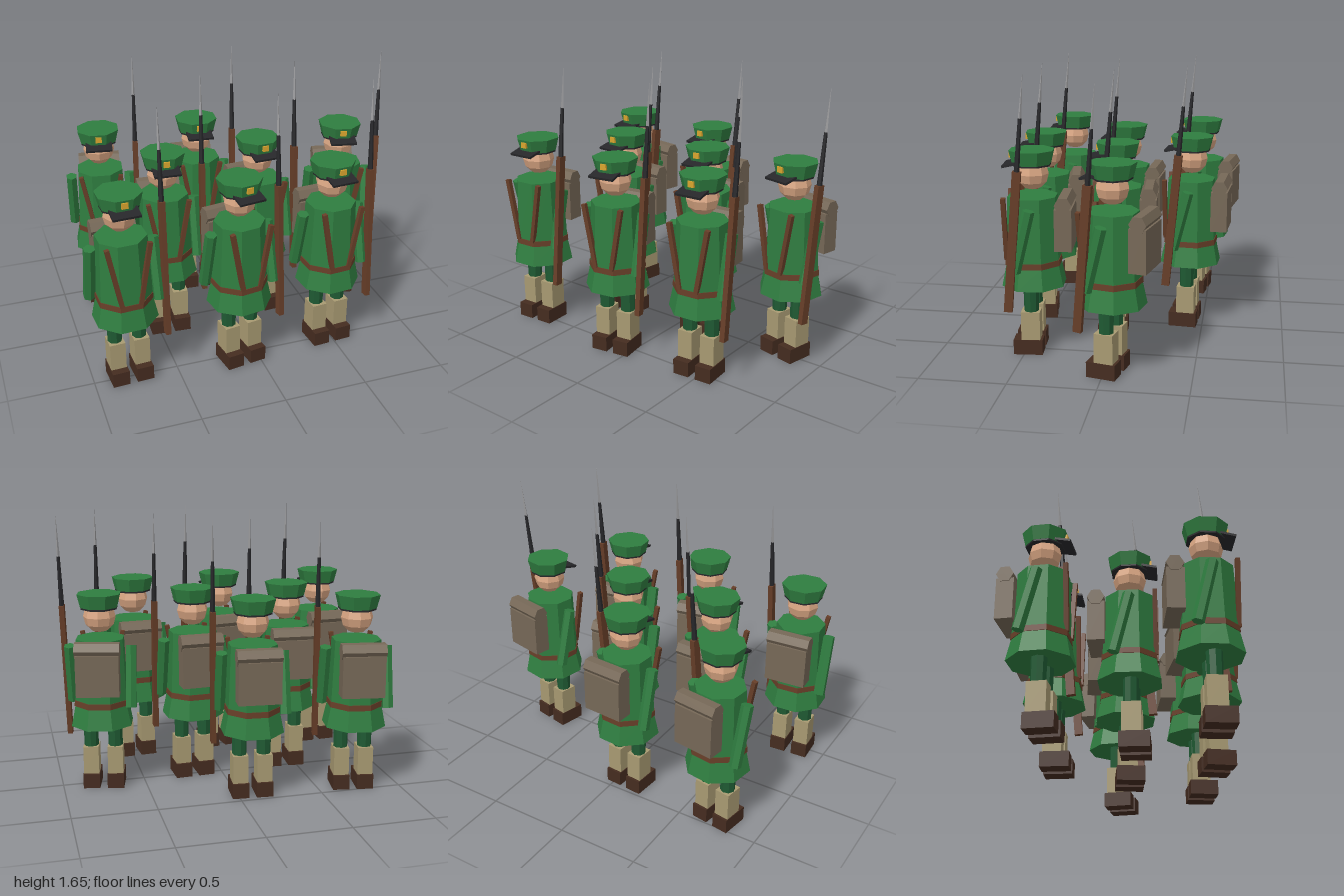
import * as THREE from 'three';

const mat = (name, color) => {
  const m = new THREE.MeshStandardMaterial({ color });
  m.name = name;
  return m;
};

// Faceted normals for a low-poly look
function flat(geo) {
  const g = geo.index ? geo.toNonIndexed() : geo;
  g.computeVertexNormals();
  return g;
}
const box = (w, h, d) => new THREE.BoxGeometry(w, h, d);
// Eight-sided drum with a flat side facing forward
const drum = (top, bottom, h) =>
  flat(new THREE.CylinderGeometry(top, bottom, h, 8, 1, false, Math.PI / 8));

export function createModel() {
  const M = {
    coat: mat('coat green', 0x2f7d40),
    trousers: mat('trouser green', 0x1f5a33),
    gaiter: mat('gaiter khaki', 0xa89a72),
    boot: mat('boot brown', 0x452c20),
    leather: mat('leather and wood brown', 0x673e28),
    pack: mat('pack taupe', 0x766857),
    skin: mat('skin', 0xd8a582),
    black: mat('black', 0x27272a),
    steel: mat('steel', 0x9c9c9e),
    gold: mat('gold', 0xd9a52e),
  };

  const G = {
    boot: box(0.1, 0.09, 0.17),
    gaiter: box(0.092, 0.17, 0.11),
    trouser: flat(new THREE.CylinderGeometry(0.046, 0.043, 0.2, 8)),
    skirt: drum(0.164, 0.192, 0.13),
    belt: drum(0.168, 0.17, 0.034),
    torso: drum(0.148, 0.164, 0.375),
    strap: box(0.026, 0.385, 0.026),
    arm: flat(new THREE.CylinderGeometry(0.035, 0.035, 0.37, 6)),
    head: flat(new THREE.SphereGeometry(0.096, 8, 6)),
    band: drum(0.113, 0.113, 0.022),
    cap: drum(0.134, 0.114, 0.08),
    visor: box(0.16, 0.014, 0.1),
    badge: box(0.038, 0.034, 0.015),
    pack: box(0.25, 0.245, 0.1),
    roll: flat(new THREE.CylinderGeometry(0.05, 0.05, 0.26, 6)),
    stock: box(0.03, 0.82, 0.048),
    barrel: flat(new THREE.CylinderGeometry(0.01, 0.016, 0.3, 6)),
    bayonet: flat(new THREE.CylinderGeometry(0.001, 0.01, 0.24, 4)),
  };

  function add(parent, name, geo, material, pos, rot = [0, 0, 0]) {
    const mesh = new THREE.Mesh(geo, material);
    mesh.name = name;
    mesh.position.set(...pos);
    mesh.rotation.set(...rot);
    parent.add(mesh);
    return mesh;
  }

  function makeSoldier() {
    const s = new THREE.Group();
    s.name = 'soldier';

    // Legs, chest straps and swinging arms, mirrored
    for (const side of [-1, 1]) {
      const x = side * 0.073;
      add(s, 'boot', G.boot, M.boot, [x, 0.045, 0.028]);
      add(s, 'gaiter', G.gaiter, M.gaiter, [x, 0.175, 0.012]);
      add(s, 'trouserLeg', G.trouser, M.trousers, [x, 0.36, 0.01]);
      add(s, 'chestStrap', G.strap, M.leather, [side * 0.088, 0.75, 0.15], [0, 0, -side * 0.18]);
      add(s, 'arm', G.arm, M.coat, [side * 0.182, 0.705, side * 0.04], [-side * 0.24, 0, 0]);
    }

    // Coat
    add(s, 'coatSkirt', G.skirt, M.coat, [0, 0.471, 0]);
    add(s, 'belt', G.belt, M.leather, [0, 0.547, 0]);
    add(s, 'coatBody', G.torso, M.coat, [0, 0.747, 0]);

    // Head and cap
    add(s, 'head', G.head, M.skin, [0, 1.062, 0]);
    add(s, 'capBand', G.band, M.black, [0, 1.121, 0]);
    add(s, 'cap', G.cap, M.coat, [0, 1.16, 0]);
    add(s, 'visor', G.visor, M.black, [0, 1.122, 0.112], [0.22, 0, 0]);
    add(s, 'badge', G.badge, M.gold, [0, 1.17, 0.122]);

    // Backpack with bedroll
    add(s, 'backpack', G.pack, M.pack, [0, 0.755, -0.186]);
    add(s, 'bedroll', G.roll, M.pack, [0, 0.902, -0.188], [0, 0, Math.PI / 2]);

    // Rifle leaning back against the left arm
    const rifle = new THREE.Group();
    rifle.name = 'rifle';
    rifle.position.set(0.213, 0.302, 0.12);
    rifle.rotation.set(-0.088, 0, -0.015);
    add(rifle, 'rifleStock', G.stock, M.leather, [0, 0.41, 0]);
    add(rifle, 'rifleBarrel', G.barrel, M.black, [0, 0.966, 0]);
    add(rifle, 'bayonet', G.bayonet, M.steel, [0, 1.233, 0]);
    s.add(rifle);
    return s;
  }

  // Formation: x, z, turn
  const places = [
    [-0.712, -0.44, -0.16], [-0.083, -0.415, -0.08],
    [-0.426, 0.035, -0.06], [0.18, 0.005, 0.06], [0.752, -0.05, -0.22],
    [-0.786, 0.457, 0.06], [-0.112, 0.505, 0.16], [0.475, 0.457, 0.08],
  ];
  const model = new THREE.Group();
  model.name = 'soldierFormation';
  for (const [x, z, turn] of places) {
    const soldier = makeSoldier();
    soldier.position.set(x, 0, z);
    soldier.rotation.y = turn;
    model.add(soldier);
  }
  return model;
}
